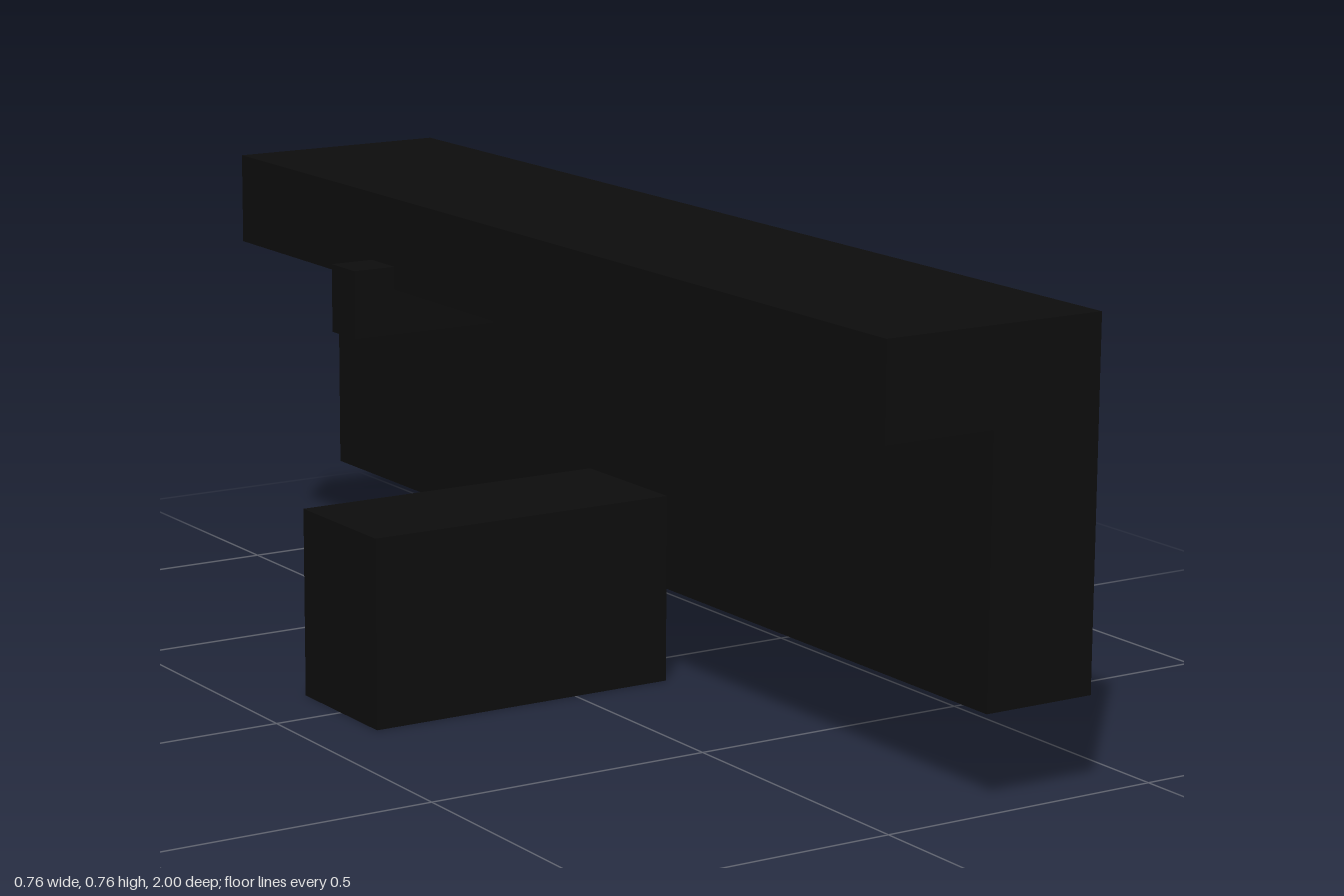
import * as THREE from 'three';

export function createModel() {
  const model = new THREE.Group();
  model.name = 'model';

  const black = new THREE.MeshStandardMaterial({ color: 0x0d0d0d });
  black.name = 'black';

  // Add a mesh with its name
  const add = (name, geometry) => {
    const mesh = new THREE.Mesh(geometry, black);
    mesh.name = name;
    model.add(mesh);
    return mesh;
  };

  // Box given by its minimum and maximum corners
  const box = (name, [x0, y0, z0], [x1, y1, z1]) =>
    add(name, new THREE.BoxGeometry(x1 - x0, y1 - y0, z1 - z0))
      .position.set((x0 + x1) / 2, (y0 + y1) / 2, (z0 + z1) / 2);

  // Long body: an L-shaped section with an overhanging top flange
  const section = new THREE.Shape([
    [0.18, 0.16], [0.38, 0.16], [0.38, 0.76],
    [-0.02, 0.76], [-0.02, 0.6], [0.18, 0.6],
  ].map(([x, y]) => new THREE.Vector2(x, y)));
  add('body', new THREE.ExtrudeGeometry(section, { depth: 2, bevelEnabled: false }))
    .position.z = -1;

  // Block projecting sideways from the lower middle of the body
  box('sideBlock', [-0.38, 0, -0.12], [0.18, 0.32, 0.12]);

  // Small tab under the flange, towards the back
  box('tab', [-0.1, 0.52, -0.52], [0.18, 0.64, -0.44]);

  return model;
}
